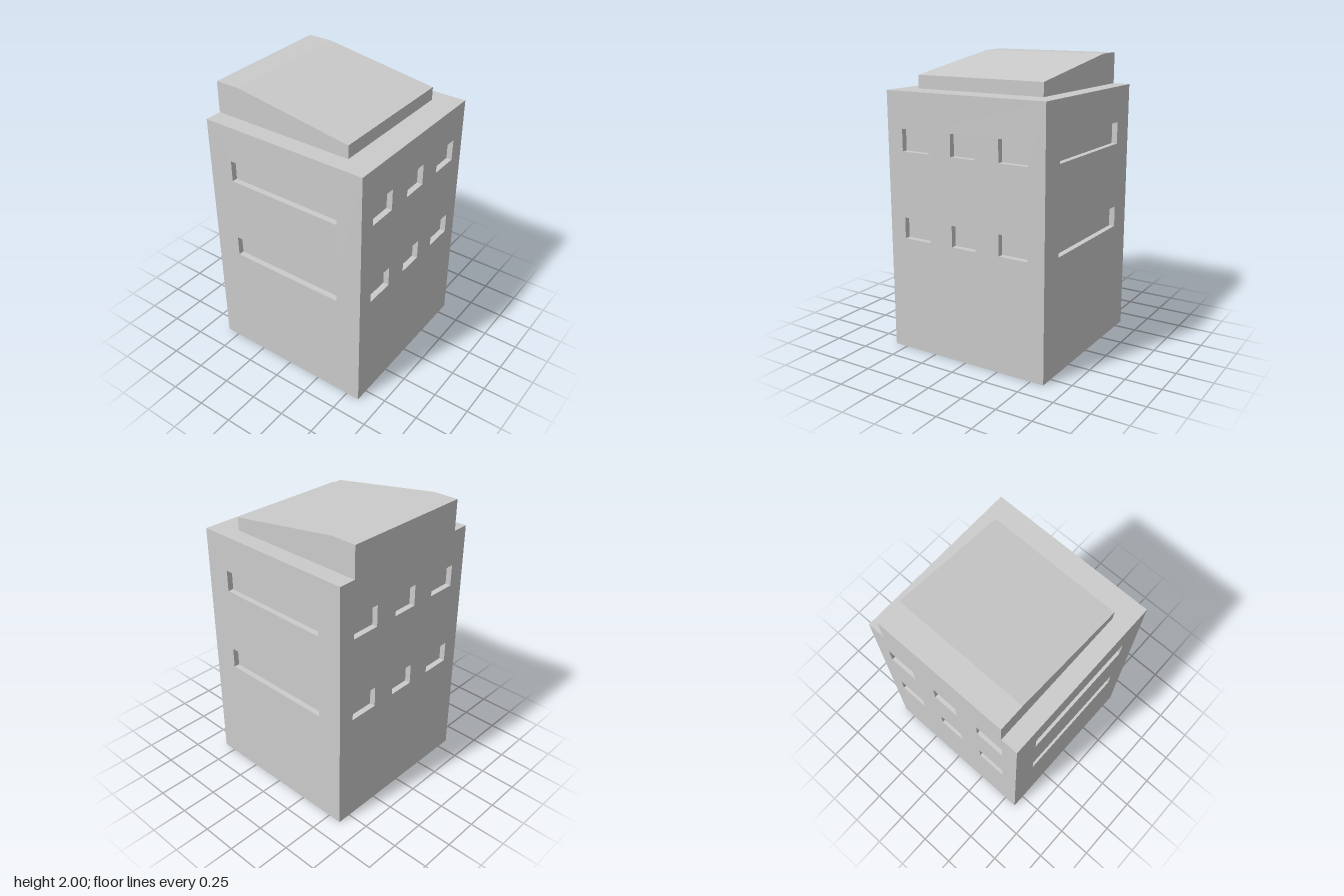
import * as THREE from 'three';
import { mergeGeometries } from 'three/addons/utils/BufferGeometryUtils.js';

const HALF = 0.595;      // half the width of the square tower
const HEIGHT = 1.785;    // top of the walls
const DEPTH = 0.04;      // depth of the window recesses
const FLOORS = [[0.795, 0.94], [1.39, 1.54]];
const SMALL_WINDOWS = [[-0.477, -0.267], [-0.093, 0.093], [0.267, 0.477]];
const LONG_WINDOW = [[-0.415, 0.415]];

// Flat panel of w x h, tilted by rx, ry and then moved into place
function panel(w, h, rx, ry, x, y, z) {
  return new THREE.PlaneGeometry(w, h).rotateX(rx).rotateY(ry).translate(x, y, z);
}

// Shallow open-fronted pocket behind a window opening
function recess(x0, x1, y0, y1) {
  const w = x1 - x0, h = y1 - y0, x = (x0 + x1) / 2, y = (y0 + y1) / 2;
  const z = HALF - DEPTH / 2, q = Math.PI / 2;
  return [
    panel(w, h, 0, 0, x, y, HALF - DEPTH),  // pane
    panel(w, DEPTH, -q, 0, x, y0, z),       // sill
    panel(w, DEPTH, q, 0, x, y1, z),        // lintel
    panel(DEPTH, h, 0, q, x0, y, z),        // jambs
    panel(DEPTH, h, 0, -q, x1, y, z),
  ];
}

// One wall facing +z, pierced by the given columns of windows on each floor
function wall(columns) {
  const shape = new THREE.Shape();
  shape.moveTo(-HALF, 0).lineTo(HALF, 0).lineTo(HALF, HEIGHT).lineTo(-HALF, HEIGHT).closePath();
  const pockets = [];
  for (const [y0, y1] of FLOORS) {
    for (const [x0, x1] of columns) {
      const hole = new THREE.Path();
      hole.moveTo(x0, y0).lineTo(x0, y1).lineTo(x1, y1).lineTo(x1, y0).closePath();
      shape.holes.push(hole);
      pockets.push(...recess(x0, x1, y0, y1));
    }
  }
  const face = new THREE.ShapeGeometry(shape).translate(0, 0, HALF);
  return mergeGeometries([face, ...pockets]);
}

export function createModel() {
  const group = new THREE.Group();
  const material = new THREE.MeshStandardMaterial({ color: 0xcccccc, flatShading: true });
  const add = (name, geometry) => {
    const mesh = new THREE.Mesh(geometry, material);
    mesh.name = name;
    group.add(mesh);
  };

  // Tower: small windows front and back, long slots on both sides
  const parts = [0, 1, 2, 3].map((i) =>
    wall(i % 2 ? LONG_WINDOW : SMALL_WINDOWS).rotateY(i * Math.PI / 2));
  parts.push(panel(2 * HALF, 2 * HALF, -Math.PI / 2, 0, 0, HEIGHT, 0));
  parts.push(panel(2 * HALF, 2 * HALF, Math.PI / 2, 0, 0, 0, 0));
  add('tower', mergeGeometries(parts));

  // Sloping roof block, flush with the back wall; side profile in (z, y)
  const profile = new THREE.Shape([
    [-HALF, HEIGHT], [0.412, HEIGHT], [0.412, 1.875], [-0.415, 2], [-HALF, 2],
  ].map(([z, y]) => new THREE.Vector2(z, y)));
  const width = 0.95;
  const roof = new THREE.ExtrudeGeometry(profile, { depth: width, bevelEnabled: false });
  add('roof', roof.translate(0, 0, -width / 2).rotateY(-Math.PI / 2));

  return group;
}
